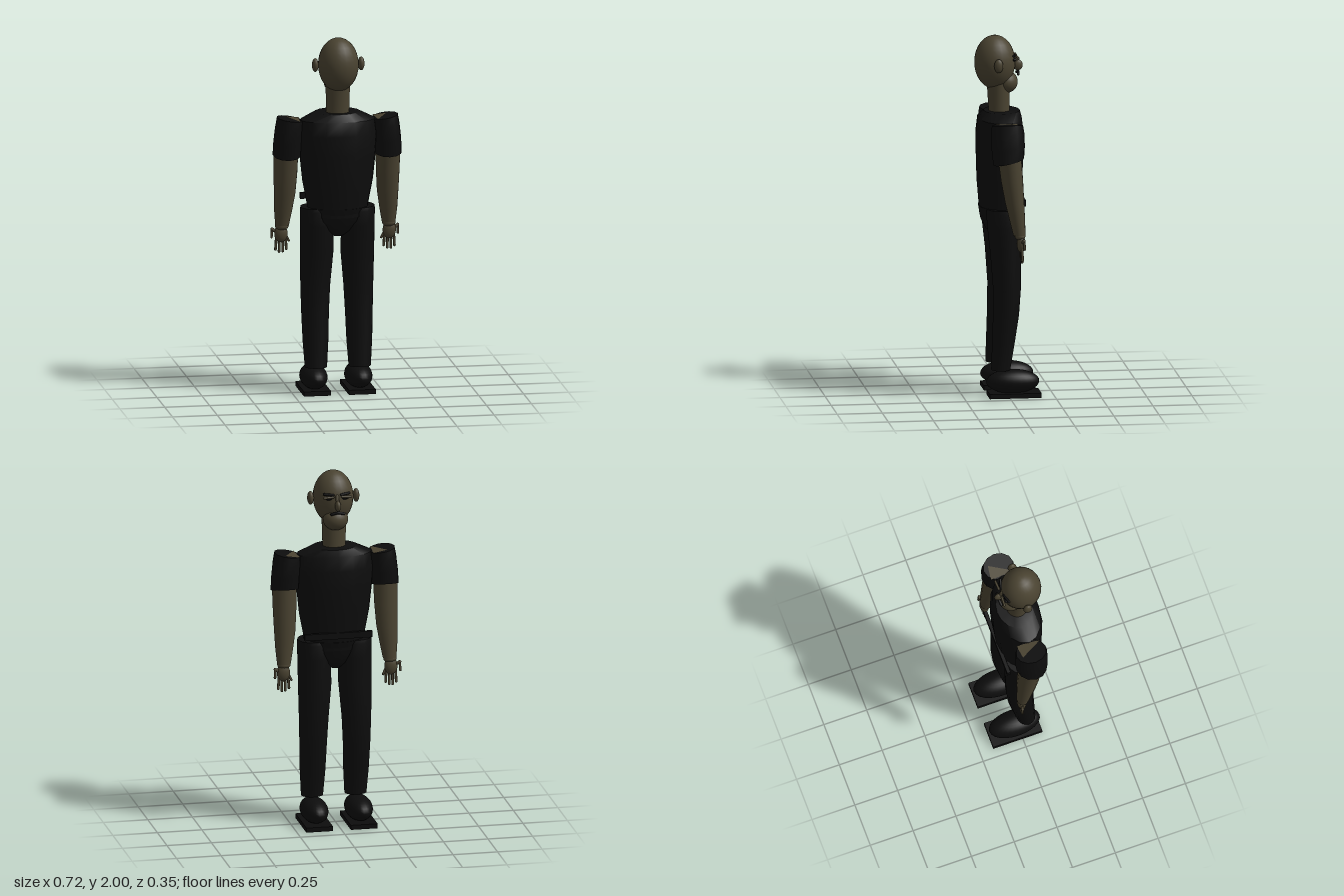
import * as THREE from 'three';
import { toCreasedNormals } from 'three/addons/utils/BufferGeometryUtils.js';

const skin = new THREE.MeshStandardMaterial({ color: 0x4a4331 });
skin.name = 'skin';
const cloth = new THREE.MeshStandardMaterial({ color: 0x0d0d0d });
cloth.name = 'black cloth';
const skinPatch = skin.clone();
skinPatch.name = 'skin patch';
skinPatch.side = THREE.DoubleSide;

// Capped loft through elliptical rings, bottom to top: [y, cx, cz, rx, rz, slopeX, slopeZ]
function loft(rings, sides = 16) {
  const pos = [], idx = [];
  for (const [y, cx, cz, rx, rz, sx = 0, sz = 0] of rings) {
    for (let i = 0; i < sides; i++) {
      const a = (i / sides) * Math.PI * 2;
      const dx = Math.cos(a) * rx, dz = Math.sin(a) * rz;
      pos.push(cx + dx, y + dx * sx + dz * sz, cz + dz);
    }
  }
  const id = (r, i) => r * sides + (i % sides);
  for (let r = 0; r < rings.length - 1; r++) {
    for (let i = 0; i < sides; i++) {
      idx.push(id(r, i), id(r + 1, i), id(r, i + 1));
      idx.push(id(r, i + 1), id(r + 1, i), id(r + 1, i + 1));
    }
  }
  const last = rings.length - 1;
  const bottom = pos.length / 3, top = bottom + 1;
  for (const r of [0, last]) pos.push(rings[r][1], rings[r][0], rings[r][2]);
  for (let i = 0; i < sides; i++) {
    idx.push(bottom, id(0, i), id(0, i + 1));
    idx.push(top, id(last, i + 1), id(last, i));
  }
  const g = new THREE.BufferGeometry();
  g.setAttribute('position', new THREE.Float32BufferAttribute(pos, 3));
  g.setIndex(idx);
  return toCreasedNormals(g, 0.7);
}

export function createModel() {
  const model = new THREE.Group();
  model.name = 'standingMan';

  const add = (name, geometry, material, x = 0, y = 0, z = 0) => {
    const mesh = new THREE.Mesh(geometry, material);
    mesh.name = name;
    mesh.position.set(x, y, z);
    model.add(mesh);
    return mesh;
  };
  const ball = (name, material, x, y, z, rx, ry, rz) => {
    const mesh = add(name, new THREE.SphereGeometry(1, 24, 16), material, x, y, z);
    mesh.scale.set(rx, ry, rz);
    return mesh;
  };
  // Rounded rod between two points
  const rod = (name, material, from, to, radius) => {
    const a = new THREE.Vector3(...from), b = new THREE.Vector3(...to);
    const dir = b.clone().sub(a);
    const mesh = add(name, new THREE.CapsuleGeometry(radius, dir.length(), 4, 8), material);
    mesh.position.copy(a).add(b).multiplyScalar(0.5);
    mesh.quaternion.setFromUnitVectors(new THREE.Vector3(0, 1, 0), dir.normalize());
    return mesh;
  };

  // Head, facing -z
  ball('head', skin, 0, 1.85, 0.06, 0.112, 0.15, 0.113);
  ball('jaw', skin, 0, 1.738, -0.005, 0.07, 0.062, 0.062);
  add('neck', loft([[1.56, 0, 0.035, 0.064, 0.058], [1.74, 0, 0.042, 0.068, 0.062]], 20), skin);
  ball('nose', skin, 0, 1.83, -0.068, 0.016, 0.03, 0.027);
  rod('noseBridge', skin, [0, 1.88, -0.048], [0, 1.835, -0.065], 0.01);

  // Torso and pelvis
  add('torso', loft([
    [1.0, 0, 0.035, 0.165, 0.11],
    [1.07, 0, 0.035, 0.172, 0.115],
    [1.2, 0, 0.035, 0.197, 0.126],
    [1.35, 0, 0.033, 0.213, 0.132],
    [1.46, 0, 0.033, 0.222, 0.132],
    [1.54, 0, 0.033, 0.21, 0.122],
    [1.58, 0, 0.022, 0.125, 0.1],
  ]), cloth);
  add('pelvis', loft([
    [0.885, 0, 0.025, 0.03, 0.04],
    [0.92, 0, 0.03, 0.09, 0.08],
    [0.98, 0, 0.035, 0.15, 0.105],
    [1.05, 0, 0.035, 0.175, 0.117],
  ]), cloth);
  add('beltBar', new THREE.BoxGeometry(0.38, 0.035, 0.02), cloth, 0, 1.09, -0.078);

  for (const s of [-1, 1]) {
    const side = s > 0 ? 'left' : 'right';

    // Face features
    ball(side + 'Ear', skin, s * 0.128, 1.85, 0.055, 0.018, 0.038, 0.025);
    rod(side + 'Brow', cloth, [s * 0.022, 1.888, -0.047], [s * 0.07, 1.892, -0.035], 0.007);
    ball(side + 'Eye', cloth, s * 0.045, 1.868, -0.042, 0.02, 0.009, 0.012);
    rod(side + 'Eyelid', skin, [s * 0.025, 1.88, -0.06], [s * 0.074, 1.878, -0.062], 0.007);
    rod(side + 'Moustache', cloth, [0, 1.792, -0.07], [s * 0.035, 1.784, -0.066], 0.008);

    // Short sleeve with a sloping top and a bare patch on the shoulder
    add(side + 'Sleeve', loft([
      [1.345, s * 0.281, 0.02, 0.079, 0.085, 0, -0.22],
      [1.42, s * 0.277, 0.022, 0.079, 0.092, 0, -0.1],
      [1.5, s * 0.27, 0.024, 0.077, 0.092],
      [1.546, s * 0.265, 0.025, 0.072, 0.086, s * 0.148],
    ], 12), cloth);
    const patch = new THREE.BufferGeometry();
    const corners = [[0.285, -0.03], [0.205, -0.04], [0.215, 0.095]];
    patch.setAttribute('position', new THREE.Float32BufferAttribute(
      corners.flatMap(([x, z]) => [s * x, 1.548 + (x - 0.265) * 0.148, z]), 3));
    patch.setIndex(s > 0 ? [0, 1, 2] : [0, 2, 1]);
    patch.computeVertexNormals();
    add(side + 'ShoulderPatch', patch, skinPatch);

    // Arm leaning forward towards the hand
    add(side + 'Arm', loft([
      [0.935, s * 0.297, -0.037, 0.038, 0.034],
      [1.02, s * 0.293, -0.026, 0.05, 0.043],
      [1.12, s * 0.287, -0.012, 0.06, 0.053],
      [1.24, s * 0.285, 0.002, 0.066, 0.061],
      [1.4, s * 0.284, 0.018, 0.07, 0.066],
    ]), skin);

    // Hand
    ball(side + 'Wrist', skin, s * 0.298, 0.93, -0.04, 0.037, 0.022, 0.03);
    ball(side + 'Palm', skin, s * 0.302, 0.888, -0.046, 0.037, 0.05, 0.024);
    for (let i = 0; i < 4; i++) {
      const x = s * (0.276 + i * 0.017);
      const tip = [0.8, 0.787, 0.785, 0.798][i];
      rod(side + 'Finger', skin, [x, 0.87, -0.048], [x + s * (i - 1.5) * 0.003, tip, -0.05], 0.0075);
    }
    rod(side + 'Thumb', skin, [s * 0.325, 0.895, -0.048], [s * 0.35, 0.912, -0.056], 0.009);
    rod(side + 'ThumbTip', skin, [s * 0.35, 0.912, -0.056], [s * 0.352, 0.865, -0.06], 0.007);
    rod(side + 'LittleFinger', skin, [s * 0.275, 0.88, -0.046], [s * 0.258, 0.845, -0.05], 0.007);

    // Trouser leg
    add(side + 'Leg', loft([
      [0.15, s * 0.122, 0.043, 0.062, 0.053],
      [0.3, s * 0.122, 0.028, 0.072, 0.063],
      [0.45, s * 0.122, 0.014, 0.077, 0.072],
      [0.6, s * 0.12, 0.008, 0.083, 0.077],
      [0.8, s * 0.113, 0.015, 0.094, 0.085],
      [0.95, s * 0.115, 0.025, 0.093, 0.092],
      [1.03, s * 0.119, 0.028, 0.09, 0.095],
      [1.05, s * 0.121, 0.028, 0.085, 0.09],
    ]), cloth);

    // Shoe with a flat sole
    ball(side + 'Shoe', cloth, s * 0.125, 0.083, -0.023, 0.075, 0.067, 0.147);
    add(side + 'Sole', new THREE.BoxGeometry(0.15, 0.026, 0.287), cloth, s * 0.125, 0.013, -0.03);
  }
  return model;
}
